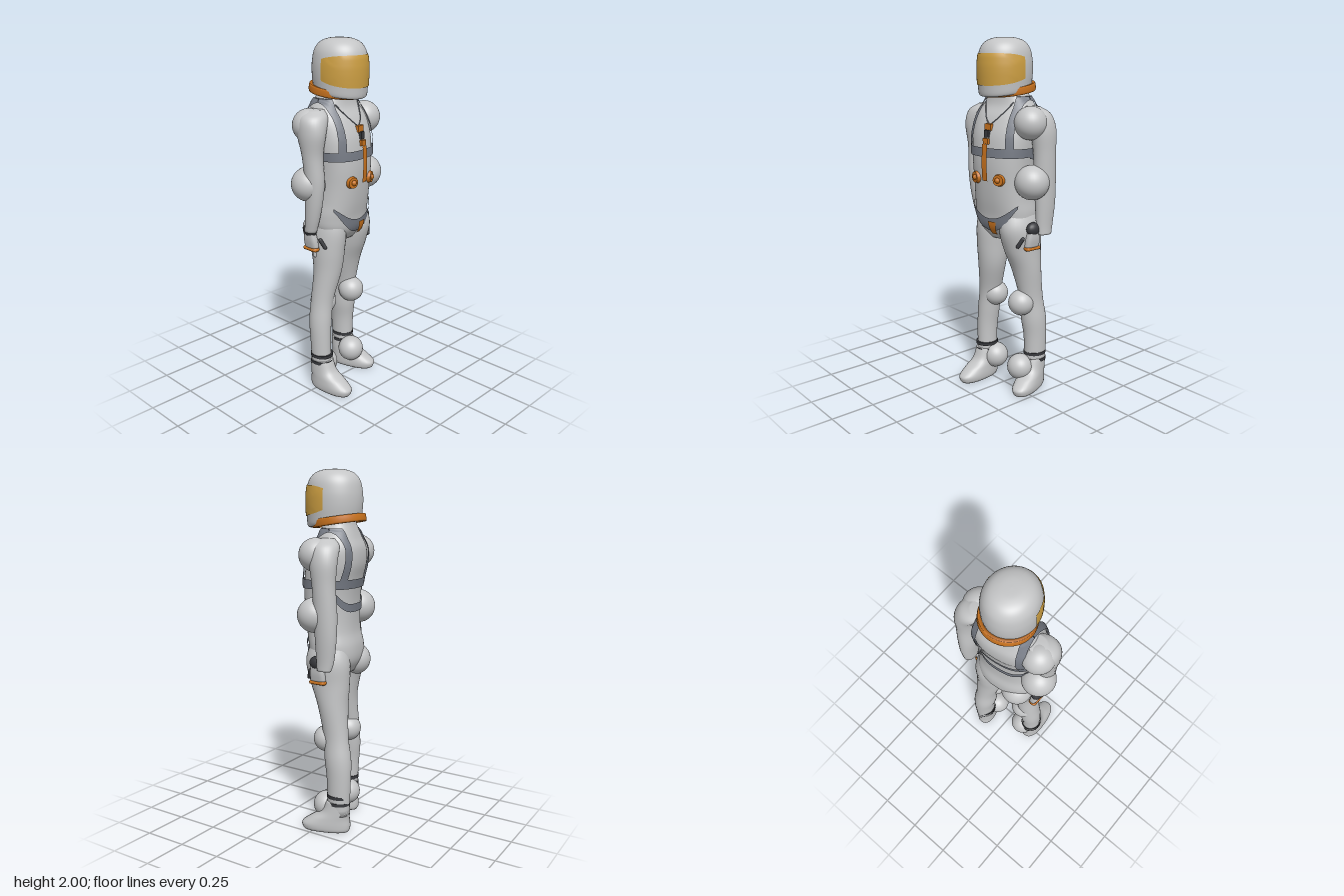
import * as THREE from 'three';

const mat = (name, color, side = THREE.FrontSide) => {
  const m = new THREE.MeshStandardMaterial({ color, side });
  m.name = name;
  return m;
};

// Smoothly resample cross-sections [x, y, z, rx, rz]
function resample(secs, n) {
  const c = new THREE.CatmullRomCurve3(secs.map(s => new THREE.Vector3(s[0], s[1], s[2])), false, 'catmullrom');
  const r = new THREE.CatmullRomCurve3(secs.map(s => new THREE.Vector3(s[3], s[4], 0)), false, 'catmullrom');
  return Array.from({ length: n + 1 }, (_, i) => {
    const p = c.getPoint(i / n), q = r.getPoint(i / n);
    return [p.x, p.y, p.z, q.x, q.y];
  });
}

// Point on a rounded cross-section
function ringPoint(s, a, off, e) {
  const f = v => Math.sign(v) * Math.pow(Math.abs(v), 2 / e);
  return [s[0] + (s[3] + off) * f(Math.cos(a)), s[1], s[2] + (s[4] + off) * f(Math.sin(a))];
}

// Closed body through cross-sections listed bottom to top
function loft(secs, e = 2, seg = 32, steps = 40) {
  const rows = resample(secs, steps), pos = [], idx = [];
  rows.forEach(s => {
    for (let j = 0; j < seg; j++) pos.push(...ringPoint(s, j / seg * Math.PI * 2, 0, e));
  });
  const bot = pos.length / 3, top = bot + 1, last = steps * seg;
  pos.push(...rows[0].slice(0, 3), ...rows[steps].slice(0, 3));
  for (let j = 0; j < seg; j++) {
    const k = (j + 1) % seg;
    for (let i = 0; i < steps; i++) {
      const a = i * seg + j, b = i * seg + k;
      idx.push(a, a + seg, b, b, a + seg, b + seg);
    }
    idx.push(bot, j, k, top, last + k, last + j);
  }
  return build(pos, idx);
}

// Sheet from a rule fn(u, v) -> [x, y, z]
function sheet(nu, nv, fn) {
  const pos = [], idx = [];
  for (let i = 0; i <= nv; i++) for (let j = 0; j <= nu; j++) pos.push(...fn(j / nu, i / nv));
  for (let i = 0; i < nv; i++) for (let j = 0; j < nu; j++) {
    const a = i * (nu + 1) + j, b = a + nu + 1;
    idx.push(a, a + 1, b, a + 1, b + 1, b);
  }
  return build(pos, idx);
}

function build(pos, idx) {
  const g = new THREE.BufferGeometry();
  g.setAttribute('position', new THREE.Float32BufferAttribute(pos, 3));
  g.setIndex(idx);
  g.computeVertexNormals();
  return g;
}

export function createModel() {
  const suit = mat('suit grey', 0xc4c5c6);
  const strap = mat('strap grey', 0x777c86, THREE.DoubleSide);
  const orange = mat('orange trim', 0xcb741f);
  const gold = mat('gold visor', 0xcd9f42, THREE.DoubleSide);
  const black = mat('dark rubber', 0x38393d);
  const model = new THREE.Group();
  const add = (parent, name, geo, m, x = 0, y = 0, z = 0) => {
    const mesh = new THREE.Mesh(geo, m);
    mesh.name = name;
    mesh.position.set(x, y, z);
    parent.add(mesh);
    return mesh;
  };
  const group = (name, parent = model) => {
    const g = new THREE.Group();
    g.name = name;
    parent.add(g);
    return g;
  };

  // Torso, slightly turned
  const torso = group('torso');
  torso.rotation.y = 0.14;
  const E = 2.4;
  const body = [[0, .9, -.03, .1, .09], [0, .97, -.025, .17, .13], [0, 1.05, -.02, .182, .137], [0, 1.13, -.005, .173, .135],
    [0, 1.22, .002, .17, .138], [0, 1.32, .004, .175, .143], [0, 1.42, -.005, .185, .148], [0, 1.5, -.02, .19, .15],
    [0, 1.58, -.035, .186, .132], [0, 1.64, -.042, .155, .102], [0, 1.7, -.038, .115, .085], [0, 1.73, -.035, .105, .08]];
  add(torso, 'body', loft(body, E, 48, 60), suit);
  const rows = resample(body, 200);
  const at = y => rows.reduce((p, s) => Math.abs(s[1] - y) < Math.abs(p[1] - y) ? s : p);
  const surf = (x, y, side = 1, off = .008) => {
    const s = at(y);
    const k = Math.max(0, 1 - Math.pow(Math.abs(x) / (s[3] + off), E));
    return [x, y, s[2] + side * (s[4] + off) * Math.pow(k, 1 / E)];
  };

  // Harness
  add(torso, 'chestBand', sheet(64, 2, (u, v) => {
    const y = 1.37 + v * .05;
    const p = ringPoint(at(y), u * Math.PI * 2, .008, E);
    return [p[0], y, p[2]];
  }), strap);
  add(torso, 'lowerBackBand', sheet(48, 2, (u, v) => {
    const a = -u * Math.PI, y = 1.24 + v * .045 + .12 * Math.pow(Math.cos(a), 4);
    const p = ringPoint(at(y), a, .007, E);
    return [p[0], y, p[2]];
  }), strap);
  for (const s of [1, -1]) {
    add(torso, 'shoulderStrap', sheet(4, 49, (u, v) => {
      const h = Math.sin(Math.PI * v);
      const x = s * (.142 - .014 * h) + (u - .5) * .038;
      return surf(x, 1.38 + .31 * h, v < .5 ? 1 : -1, .01);
    }), strap);
    add(torso, 'neckCord', new THREE.TubeGeometry(new THREE.CatmullRomCurve3(
      [[.1, 1.66], [.075, 1.62], [.04, 1.575], [0, 1.54]].map(p => new THREE.Vector3(...surf(s * p[0], p[1], 1, .002)))), 16, .003, 6), strap);
    // Chest valves
    const p = surf(s * .082, 1.25, 1, .004);
    const valve = add(torso, 'valve', new THREE.CylinderGeometry(.03, .036, .025, 16), orange, ...p);
    valve.rotation.set(Math.PI / 2, 0, -s * .3);
    add(torso, 'valveCore', new THREE.SphereGeometry(.016, 12, 8), orange, p[0], p[1], p[2] + .01);
  }
  add(torso, 'hipHarness', sheet(32, 6, (u, v) => {
    const q = u * 2 - 1, lo = .95 + .145 * q * q, hi = 1.025 + .085 * q * q;
    return surf(q * .165, lo + (hi - lo) * v, 1, .009);
  }), strap);
  add(torso, 'crotchBuckle', sheet(4, 6, (u, v) => surf(.022 + (u - .5) * (.035 + .02 * v), .935 + .075 * v, 1, .016)),
    orange).material.side = THREE.DoubleSide;
  add(torso, 'frontStrip', sheet(4, 10, (u, v) => surf((u - .5) * .036, 1.24 + .2 * v, 1, .016)), orange);
  const clip = (name, y, w, h, m) => add(torso, name, new THREE.BoxGeometry(w, h, .02), m, ...surf(0, y, 1, .004));
  clip('upperClip', 1.53, .045, .035, orange);
  clip('darkClip', 1.495, .028, .04, black);
  clip('lowerClip', 1.455, .036, .03, orange);

  // Helmet
  const helmet = group('helmet');
  helmet.position.z = -.006;
  helmet.rotation.y = .07;
  const prof = new THREE.SplineCurve([[.72, 1.71], [.92, 1.715], [.975, 1.76], [1, 1.82], [.985, 1.88], [.9, 1.938], [.7, 1.977],
    [.38, 1.996], [0, 2]].map(p => new THREE.Vector2(...p))).getPoints(48);
  const shell = (r, y, a) => {
    const z = r * .158 * Math.cos(a);
    return [r * .143 * Math.sin(a), y - z * .16 * Math.min(1, Math.max(0, (1.85 - y) / .13)), z];
  };
  add(helmet, 'shell', sheet(64, 48, (u, v) => {
    const p = prof[Math.round(v * 48)];
    return shell(Math.max(p.x, 0), p.y, u * Math.PI * 2);
  }), suit);
  const radiusAt = y => prof.slice(8).reduce((b, p) => Math.abs(p.y - y) < Math.abs(b.y - y) ? p : b).x;
  add(helmet, 'visor', sheet(40, 12, (u, v) => {
    const q = u * 2 - 1, t = Math.pow(Math.abs(q), 4);
    const lo = 1.765 + .02 * t, hi = 1.917 - .02 * t, y = lo + (hi - lo) * v;
    return shell(radiusAt(y) + .025, y, q * 1.62);
  }), gold);
  const collar = add(helmet, 'collarRing', new THREE.LatheGeometry([[.85, -.021], [.98, -.021], [1, -.012], [1, .012], [.98, .021], [.85, .021],
    [.85, -.021]].map(p => new THREE.Vector2(...p)), 64), orange, 0, 1.727, -.028);
  collar.scale.set(.147, 1, .149);
  collar.rotation.x = .15;

  // Arms
  add(model, 'leftArm', loft([[.238, .945, -.092, .026, .042], [.23, 1.0, -.095, .036, .052], [.23, 1.12, -.098, .046, .062],
    [.228, 1.25, -.095, .055, .066], [.232, 1.4, -.088, .056, .066], [.225, 1.52, -.08, .065, .078],
    [.19, 1.6, -.07, .075, .075], [.16, 1.64, -.06, .045, .04]]), suit);
  add(model, 'rightArm', loft([[-.216, .97, -.02, .03, .036], [-.217, 1.05, -.005, .038, .045], [-.216, 1.15, .008, .046, .053],
    [-.216, 1.26, .015, .051, .057], [-.222, 1.4, .008, .055, .06], [-.22, 1.52, 0, .07, .085],
    [-.2, 1.6, -.005, .078, .075], [-.17, 1.64, -.02, .05, .045]]), suit);

  // Hands
  for (const s of [1, -1]) {
    const hand = group(s > 0 ? 'leftHand' : 'rightHand');
    hand.position.set(s * .212, 0, -.03);
    const cuff = add(hand, 'cuff', new THREE.SphereGeometry(.036, 20, 14), black, 0, .977, 0);
    cuff.scale.set(.85, 1.05, 1.25);
    add(hand, 'palm', loft([[-s * .012, .875, 0, .022, .046], [-s * .005, .92, 0, .024, .043], [0, .965, 0, .022, .034]], 3, 20, 10), suit);
    const bar = add(hand, 'palmBand', new THREE.CapsuleGeometry(.013, .075, 4, 10), orange, -s * .008, .867, 0);
    bar.rotation.x = Math.PI / 2;
    bar.scale.x = 1.9;
    const thumb = add(hand, 'thumb', new THREE.CapsuleGeometry(.011, .05, 4, 10), black, -s * .03, .903, .068);
    thumb.rotation.set(-.45, 0, -s * .35);
    if (s < 0) add(hand, 'finger', new THREE.CapsuleGeometry(.012, .05, 4, 10), suit, .028, .848, .01);
  }

  // Legs
  add(model, 'leftLeg', loft([[.135, .1, -.12, .055, .064], [.135, .3, -.122, .06, .07], [.13, .42, -.113, .067, .077],
    [.125, .55, -.097, .062, .072], [.113, .72, -.07, .083, .086], [.104, .85, -.045, .093, .115],
    [.103, .97, -.03, .098, .13], [.095, 1.08, -.03, .07, .1]]), suit);
  add(model, 'rightLeg', loft([[-.16, .1, 0, .054, .058], [-.163, .3, -.006, .056, .062], [-.157, .42, -.012, .062, .067],
    [-.14, .55, -.012, .063, .067], [-.108, .72, 0, .08, .082], [-.1, .85, -.005, .088, .103],
    [-.092, .97, -.02, .09, .125], [-.085, 1.08, -.02, .07, .1]]), suit);

  // Boots with ankle bands
  for (const [name, x, z, turn] of [['leftBoot', .135, -.12, .33], ['rightBoot', -.16, 0, .08]]) {
    const boot = group(name);
    boot.position.set(x, 0, z);
    const foot = add(boot, 'foot', loft([[0, 0, .07, .055, .13], [0, .015, .071, .062, .138], [0, .04, .07, .064, .138], [0, .075, .048, .062, .112],
      [0, .115, .016, .059, .08], [0, .18, 0, .056, .064]], 2.4), suit);
    foot.rotation.y = turn;
    for (const y of [.17, .21]) {
      const band = add(boot, 'ankleBand', new THREE.CylinderGeometry(.061, .061, .018, 32), black, 0, y, 0);
      band.scale.z = 1.1;
    }
  }

  // Round joint balls
  const balls = [['shoulderBall', .2, 1.555, -.015, .09], ['shoulderBall', -.2, 1.555, -.04, .09],
    ['elbowBall', .212, 1.237, -.017, .095], ['elbowBall', -.212, 1.237, -.037, .095],
    ['hipBall', .1, .95, -.065, .088], ['hipBall', -.1, .95, -.08, .09]];
  for (const s of [1, -1]) balls.push(['kneeBall', s * .115, .525, -.03, .074], ['ankleBall', s * .112, .13, -.027, .075]);
  for (const [name, x, y, z, r] of balls) add(model, name, new THREE.SphereGeometry(r, 32, 22), suit, x, y, z);

  return model;
}
